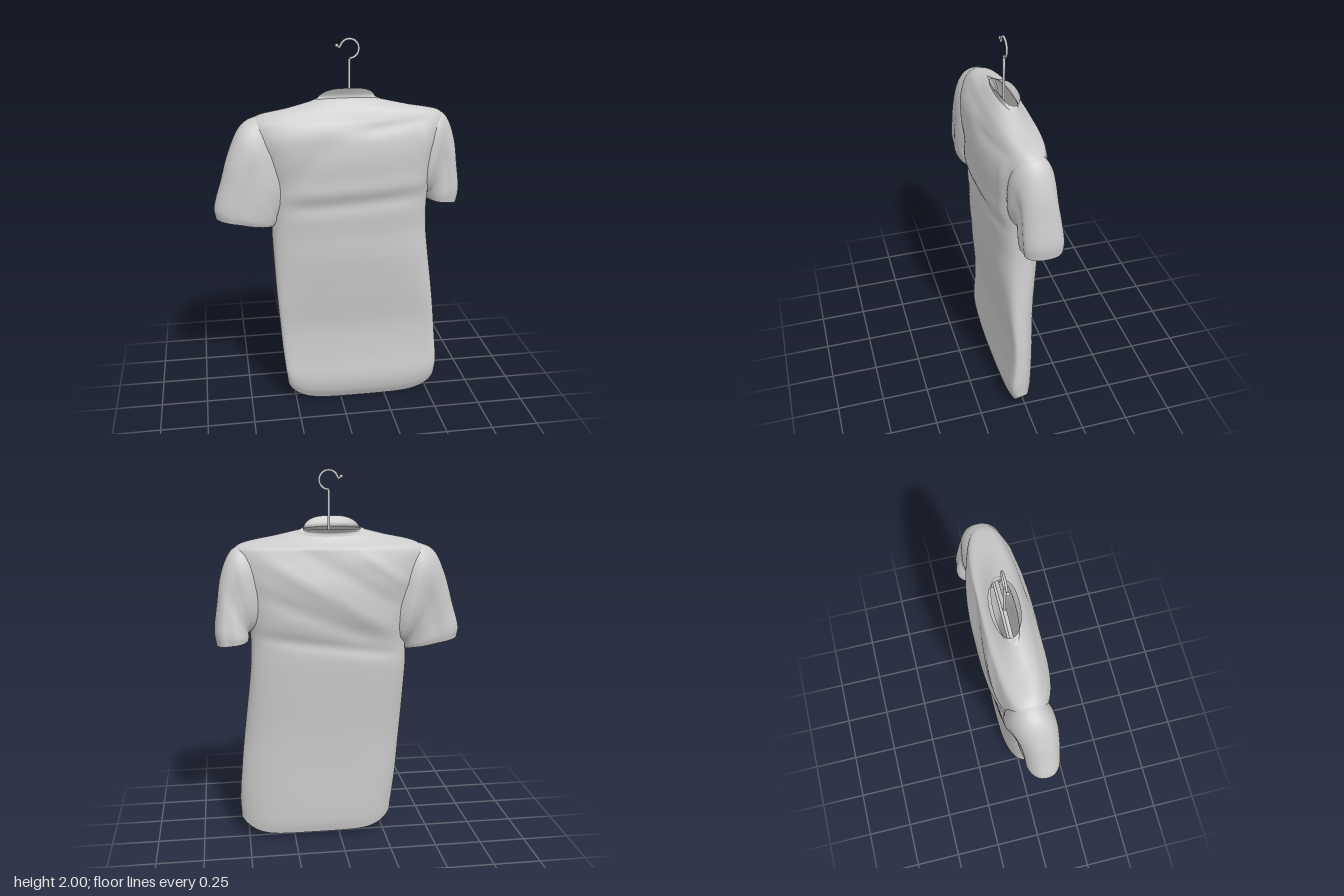
import * as THREE from 'three';
import { mergeVertices } from 'three/addons/utils/BufferGeometryUtils.js';
import { ParametricGeometry } from 'three/addons/geometries/ParametricGeometry.js';

const cloth = new THREE.MeshStandardMaterial({ color: 0xcccccc, side: THREE.DoubleSide });
const metal = new THREE.MeshStandardMaterial({ color: 0xcccccc });
const { smoothstep } = THREE.MathUtils;
const spow = (a, p) => Math.sign(a) * Math.pow(Math.abs(a), p);
const v3 = (p) => new THREE.Vector3(...p);
const spline = (points) => new THREE.CatmullRomCurve3(points.map(v3), false, 'catmullrom', 0.5);

// Smooth closed skin from a function of angle and height
function skin(name, fn, slices, stacks) {
  const raw = new ParametricGeometry((u, v, t) => fn(u * Math.PI * 2, v, t), slices, stacks);
  raw.deleteAttribute('uv');
  raw.deleteAttribute('normal');
  const geometry = mergeVertices(raw, 1e-5);
  geometry.computeVertexNormals();
  const mesh = new THREE.Mesh(geometry, cloth);
  mesh.name = name;
  return mesh;
}

// Soft cloth ridge or groove along the line a-b
function fold(x, y, [ax, ay, bx, by, width, height]) {
  const dx = bx - ax, dy = by - ay, len = Math.hypot(dx, dy);
  const s = ((x - ax) * dx + (y - ay) * dy) / (len * len);
  const d = ((x - ax) * dy - (y - ay) * dx) / len;
  const along = smoothstep(s, -0.15, 0.2) * (1 - smoothstep(s, 0.8, 1.15));
  return height * along * Math.exp(-((d / width) ** 2));
}

const frontFolds = [
  [-0.3, 1.15, 0.44, 1.20, 0.045, -0.012],
  [-0.33, 1.22, 0.46, 1.27, 0.05, 0.008],
  [-0.35, 1.22, -0.05, 1.5, 0.06, -0.008],
  [-0.4, 1.5, 0.0, 1.58, 0.05, 0.006],
  [0.1, 1.55, 0.46, 1.6, 0.03, -0.007],
  [0.42, 1.2, 0.44, 1.55, 0.035, 0.012],
];
const backFolds = [
  [0.4, 1.56, -0.3, 1.16, 0.045, 0.01],
  [0.2, 1.6, -0.35, 1.28, 0.045, -0.009],
  [0.42, 1.38, -0.2, 1.12, 0.045, -0.009],
  [0.44, 1.16, -0.33, 1.04, 0.035, -0.01],
  [-0.1, 1.58, -0.38, 1.4, 0.035, 0.008],
];

// Body rows: y, right edge, left edge, front z, back z
const bodyRows = [
  [0.0, -0.295, 0.54, 0.062, -0.062],
  [0.06, -0.3, 0.542, 0.09, -0.073],
  [0.14, -0.308, 0.545, 0.1, -0.077],
  [0.28, -0.318, 0.54, 0.086, -0.08],
  [0.45, -0.33, 0.527, 0.08, -0.083],
  [0.65, -0.345, 0.505, 0.103, -0.092],
  [0.85, -0.355, 0.482, 0.125, -0.108],
  [1.0, -0.36, 0.468, 0.13, -0.118],
  [1.12, -0.355, 0.465, 0.14, -0.122],
  [1.25, -0.365, 0.475, 0.15, -0.142],
  [1.4, -0.4, 0.495, 0.16, -0.152],
  [1.5, -0.44, 0.525, 0.15, -0.142],
  [1.58, -0.455, 0.54, 0.125, -0.125],
  [1.628, -0.405, 0.51, 0.098, -0.11],
  [1.66, -0.26, 0.35, 0.068, -0.088],
  [1.69, -0.145, 0.215, 0.042, -0.06],
];
// Flared stand of the collar, tilted toward the back
const collarRows = [
  [1.69, -0.145, 0.215, 0.042, -0.06],
  [1.705, -0.126, 0.198, 0.042, -0.058],
  [1.72, -0.116, 0.188, 0.05, -0.068],
  [1.735, -0.11, 0.183, 0.06, -0.078],
];

function rowSkin(name, rows, stacks) {
  const sides = spline(rows.map(([y, l, r]) => [l, r, y]));
  const depth = spline(rows.map(([y, , , f, b]) => [f, b, y]));
  return skin(name, (a, v, target) => {
    const s = sides.getPoint(v), d = depth.getPoint(v);
    let y = s.z;
    // Boxy at the body, rounder at the neck
    const power = 2.8 - 0.6 * smoothstep(y, 1.58, 1.69);
    const cx = spow(Math.cos(a), 2 / power), cz = -spow(Math.sin(a), 2 / power);
    const x = (s.x + s.y) / 2 + cx * (s.y - s.x) / 2;
    let z = (d.x + d.y) / 2 + cz * (d.x - d.y) / 2;
    // Folds fade at the side seams and the neck
    const folds = cz > 0 ? frontFolds : backFolds;
    const bump = folds.reduce((sum, f) => sum + fold(x, y, f), 0);
    z += bump * cz * (1 - smoothstep(y, 1.58, 1.66));
    // Lower side seams hang forward: flat front, domed back
    z += 0.038 * Math.abs(cx) ** 5 * (1 - smoothstep(y, 0.5, 1.05));
    // Rounded hem corners, back hem a little higher
    y += (0.09 * Math.abs(cx) ** 6 + 0.03 * (1 - cz) / 2) * Math.max(0, 1 - y / 0.35);
    // Tilted neck, collar lower at the sides
    y -= 0.028 * cx ** 4 * smoothstep(y, 1.69, 1.735);
    y += 0.42 * z * smoothstep(y, 1.6, 1.69);
    return target.set(x, y, z);
  }, 112, stacks);
}

// Sleeve rows: outer x, y, inner x, y, centre z, half depth
const sleeves = {
  rightSleeve: [
    [-0.34, 1.625, -0.27, 1.14, 0.0, 0.085],
    [-0.44, 1.615, -0.31, 1.1, 0.0, 0.118],
    [-0.515, 1.565, -0.33, 1.085, 0.012, 0.12],
    [-0.575, 1.44, -0.335, 1.075, 0.028, 0.108],
    [-0.617, 1.3, -0.34, 1.068, 0.035, 0.1],
    [-0.655, 1.17, -0.345, 1.06, 0.037, 0.095],
    [-0.65, 1.105, -0.35, 1.052, 0.037, 0.085],
  ],
  leftSleeve: [
    [0.42, 1.625, 0.39, 1.2, -0.005, 0.085],
    [0.52, 1.62, 0.44, 1.19, -0.008, 0.11],
    [0.575, 1.57, 0.465, 1.18, -0.018, 0.102],
    [0.615, 1.46, 0.475, 1.175, -0.026, 0.098],
    [0.635, 1.33, 0.475, 1.165, -0.035, 0.105],
    [0.652, 1.2, 0.475, 1.155, -0.042, 0.11],
    [0.643, 1.12, 0.478, 1.14, -0.045, 0.105],
  ],
};

function sleeve(name, rows) {
  const side = Math.sign(rows[0][0]);
  const outer = spline(rows.map((r) => [r[0], r[1], r[4]]));
  const inner = spline(rows.map((r) => [r[2], r[3], r[5]]));
  return skin(name, (a, v, target) => {
    const o = outer.getPoint(v), i = inner.getPoint(v);
    const c = spow(Math.cos(a), 0.85), s = side * spow(Math.sin(a), 0.85);
    // Shallow lengthwise creases
    const crease = 1 - 0.09 * smoothstep(v, 0.15, 0.5) * Math.exp(-(((c - 0.2) / 0.22) ** 2));
    return target.set(
      (o.x + i.x) / 2 + c * (o.x - i.x) / 2,
      (o.y + i.y) / 2 + c * (o.y - i.y) / 2,
      o.z + s * i.z * crease);
  }, 56, 40);
}

function rod(name, points, radius, segments = 48) {
  const mesh = new THREE.Mesh(new THREE.TubeGeometry(spline(points), segments, radius, 10), metal);
  mesh.name = name;
  return mesh;
}

function hanger() {
  const group = new THREE.Group();
  group.name = 'hanger';
  const cx = 0.052, z = -0.005, hookY = 1.945, r = 0.048;
  group.add(rod('stem', [[cx, 1.64, z], [cx, 1.75, z], [cx, 1.897, z]], 0.007, 8));
  // Hook: around the left side and over the top, with a curled tip
  const arc = [];
  for (let i = 0; i <= 12; i++) {
    const a = -Math.PI / 2 + (i / 12) * Math.PI * 1.4;
    arc.push([cx + r * Math.cos(a), hookY + r * Math.sin(a), z]);
  }
  arc.push([0.002, 1.952, z], [-0.012, 1.962, z]);
  group.add(rod('hook', arc, 0.006, 64));
  const tip = new THREE.Mesh(new THREE.SphereGeometry(0.009, 12, 8), metal);
  tip.name = 'hookTip';
  tip.position.set(-0.012, 1.962, z);
  group.add(tip);
  // Shoulder arms and lower bar
  for (const s of [-1, 1]) {
    group.add(rod('shoulderArm', [
      [cx, 1.655, z], [cx + s * 0.15, 1.63, z], [cx + s * 0.3, 1.585, z],
      [cx + s * 0.38, 1.53, z], [cx + s * 0.36, 1.5, z],
    ], 0.01));
  }
  group.add(rod('lowerBar', [[cx - 0.36, 1.5, z], [cx, 1.5, z], [cx + 0.36, 1.5, z]], 0.008, 8));
  return group;
}

export function createModel() {
  const model = new THREE.Group();
  model.name = 'shirtOnHanger';
  model.add(rowSkin('body', bodyRows, 130));
  model.add(rowSkin('collar', collarRows, 12));
  for (const [name, rows] of Object.entries(sleeves)) model.add(sleeve(name, rows));
  model.add(hanger());
  return model;
}
